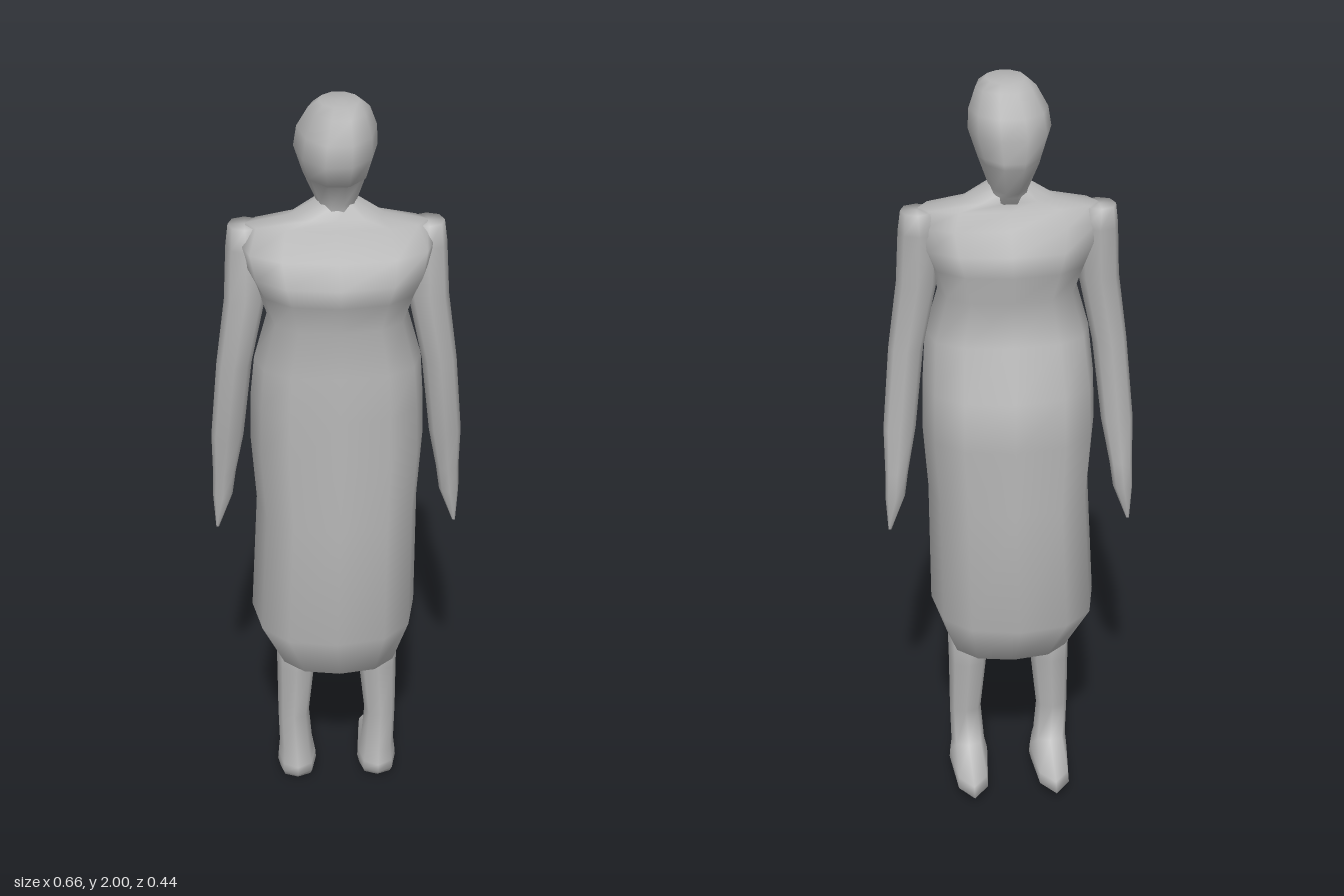
import * as THREE from 'three';

// Smooth loft through horizontal rings, listed bottom to top.
// ring: [y, centreX, halfWidth, zMax, zMin, centreZ]; power < 1 makes rings boxier
function loft(rings, sides, power = 1, side = 1) {
  const pos = [], idx = [], n = rings.length;
  const bend = (v) => Math.sign(v) * Math.pow(Math.abs(v), power);
  for (const [y, cx, rx, zMax, zMin, cz = (zMax + zMin) / 2] of rings) {
    for (let j = 0; j < sides; j++) {
      const t = (j / sides) * Math.PI * 2;
      const s = bend(Math.sin(t));
      pos.push(cx * side + rx * bend(Math.cos(t)), y, cz + s * (s > 0 ? zMax - cz : cz - zMin));
    }
  }
  for (let i = 0; i < n - 1; i++) {
    for (let j = 0; j < sides; j++) {
      const a = i * sides + j, b = i * sides + (j + 1) % sides;
      idx.push(a, a + sides, b, b, a + sides, b + sides);
    }
  }
  // end caps
  const low = pos.length / 3, high = low + 1, top = (n - 1) * sides;
  for (const r of [rings[0], rings[n - 1]]) pos.push(r[1] * side, r[0], r[5] ?? (r[3] + r[4]) / 2);
  for (let j = 0; j < sides; j++) {
    const k = (j + 1) % sides;
    idx.push(low, j, k, high, top + k, top + j);
  }
  const g = new THREE.BufferGeometry();
  g.setAttribute('position', new THREE.Float32BufferAttribute(pos, 3));
  g.setIndex(idx);
  g.computeVertexNormals();
  return g;
}

export function createModel() {
  const model = new THREE.Group();
  model.name = 'standingFigure';
  const clay = new THREE.MeshStandardMaterial({ color: 0xb4b4b4 });
  clay.name = 'plain grey';
  const add = (name, geometry) => {
    const mesh = new THREE.Mesh(geometry, clay);
    mesh.name = name;
    model.add(mesh);
  };

  // long dress with tucked hem, narrow waist, full bust and square shoulders
  add('dress', loft([
    [0.385, 0, 0.12, 0.09, -0.06],
    [0.43, 0, 0.165, 0.165, -0.14],
    [0.56, -0.01, 0.22, 0.22, -0.215],
    [0.90, 0, 0.212, 0.21, -0.20],
    [1.08, 0, 0.225, 0.20, -0.195],
    [1.21, 0, 0.222, 0.193, -0.185],
    [1.33, 0, 0.212, 0.185, -0.105],
    [1.45, 0, 0.178, 0.172, -0.10],
    [1.53, 0, 0.205, 0.20, -0.128, 0.03],
    [1.58, 0, 0.23, 0.208, -0.115, 0.03],
    [1.635, 0, 0.245, 0.165, -0.08, 0.02],
    [1.68, 0, 0.225, 0.07, -0.06, 0],
    [1.70, 0, 0.12, 0.055, -0.05, 0],
    [1.74, 0, 0.05, 0.045, -0.05, 0],
  ], 12, 0.8));

  // neck, face towards -z and hair gathered towards +z
  add('head', loft([
    [1.66, 0, 0.06, 0.05, -0.04, 0],
    [1.715, 0, 0.05, 0.048, -0.06, 0],
    [1.74, 0, 0.052, 0.055, -0.10, 0],
    [1.81, -0.003, 0.08, 0.075, -0.13, 0],
    [1.825, -0.003, 0.085, 0.15, -0.13, 0],
    [1.88, -0.003, 0.103, 0.17, -0.13, 0],
    [1.93, 0, 0.098, 0.16, -0.11, 0],
    [1.98, 0.005, 0.075, 0.12, -0.06, 0.01],
    [2.0, 0.005, 0.05, 0.08, -0.04, 0.02],
  ], 10));

  for (const [label, side] of [['left', 1], ['right', -1]]) {
    // hanging arm ending in a pointed hand
    add(label + 'Arm', loft([
      [0.79, 0.318, 0.004, -0.025, -0.033],
      [0.89, 0.302, 0.026, 0.0, -0.058],
      [0.96, 0.296, 0.03, 0.0, -0.05],
      [1.08, 0.285, 0.042, 0.025, -0.045],
      [1.30, 0.263, 0.045, 0.055, -0.035],
      [1.48, 0.232, 0.052, 0.06, -0.04],
      [1.62, 0.225, 0.052, 0.055, -0.055],
      [1.675, 0.228, 0.042, 0.04, -0.05],
    ], 8, 0.9, side));

    // shin and long pointed foot
    add(label + 'Leg', loft([
      [0.005, 0.113, 0.048, 0.06, -0.16, 0],
      [0.03, 0.113, 0.054, 0.085, -0.208, 0],
      [0.055, 0.113, 0.052, 0.085, -0.19, 0],
      [0.09, 0.115, 0.046, 0.065, -0.04, 0],
      [0.20, 0.121, 0.043, 0.05, -0.035, 0],
      [0.36, 0.113, 0.052, 0.052, -0.055, 0],
      [0.50, 0.113, 0.055, 0.06, -0.06, 0],
    ], 8, 0.85, side));
  }
  return model;
}
